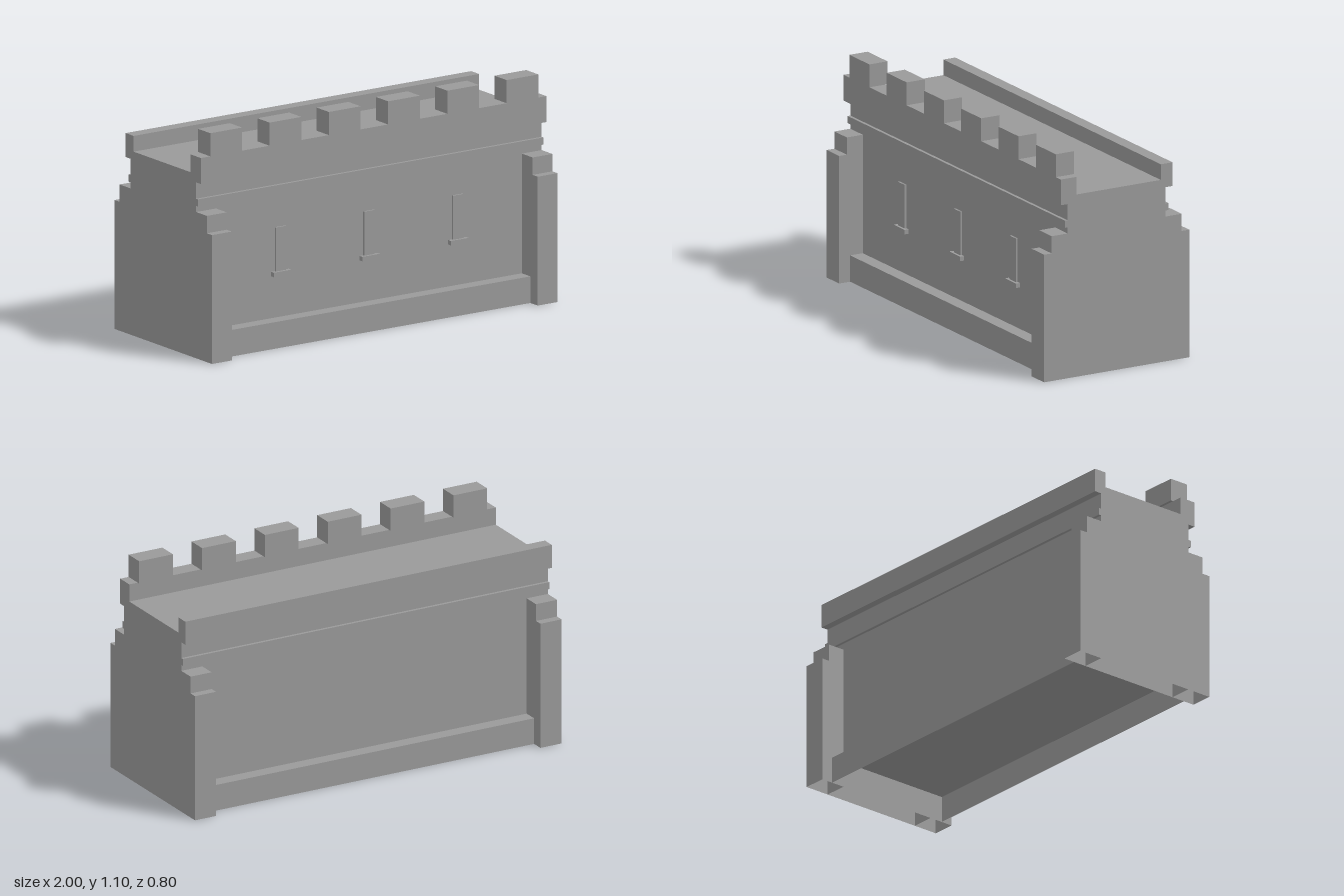
import * as THREE from 'three';

const stone = new THREE.MeshStandardMaterial({ color: 0x999999, side: THREE.DoubleSide });
stone.name = 'grey stone';

// Box given by its limits; open = true leaves out the underside
function block(parent, name, [x0, x1], [y0, y1], [z0, z1], open = false) {
  const geometry = new THREE.BoxGeometry(x1 - x0, y1 - y0, z1 - z0);
  if (open) {
    const index = Array.from(geometry.index.array);
    index.splice(18, 6);
    geometry.setIndex(index);
    geometry.clearGroups();
  }
  const mesh = new THREE.Mesh(geometry, stone);
  mesh.name = name;
  mesh.position.set((x0 + x1) / 2, (y0 + y1) / 2, (z0 + z1) / 2);
  parent.add(mesh);
  return mesh;
}

// Limits mirrored to the other side when s is -1
const side = (s, a, b) => (s > 0 ? [a, b] : [-b, -a]);

export function createModel() {
  const model = new THREE.Group();
  model.name = 'castleWall';
  const inner = 0.885, wallZ = 0.27;

  // Wall core with the walkway on top, and the hollow plinth below it
  block(model, 'wallCore', [-inner, inner], [0.13, 0.9], [-wallZ, wallZ], true);
  block(model, 'plinth', [-inner, inner], [0, 0.13], [-0.34, 0.34], true);

  // End walls with stepped corner buttresses
  for (const sx of [1, -1]) {
    const xs = side(sx, inner, 1);
    block(model, 'endWall', xs, [0, 0.9], [-wallZ, wallZ], true);
    for (const sz of [1, -1]) {
      const buttress = new THREE.Group();
      buttress.name = 'buttress';
      model.add(buttress);
      block(buttress, 'buttressBase', xs, [0, 0.63], side(sz, wallZ, 0.4), true);
      block(buttress, 'buttressCap', xs, [0.63, 0.715], side(sz, wallZ, 0.358), true);
    }
  }

  // String courses under the parapets
  for (const s of [1, -1]) {
    block(model, 'stringCourse', [-1, 1], [0.745, 0.78], side(s, wallZ, 0.285));
  }

  // Parapets
  block(model, 'frontParapet', [-1, 1], [0.86, 0.987], [0.222, 0.308]);
  block(model, 'backParapet', [-1, 1], [0.86, 0.977], [-0.308, -0.243]);

  // Merlons along the front
  for (let i = 0; i < 6; i++) {
    const x = -0.853 + i * 0.343;
    block(model, 'merlon', [x - 0.092, x + 0.092], [0.987, 1.1], [0.208, 0.308]);
  }

  // Arrow slits with sills
  for (const x of [-0.515, -0.003, 0.51]) {
    block(model, 'arrowSlit', [x - 0.03, x + 0.03], [0.357, 0.572], [wallZ, 0.279]);
    block(model, 'slitSill', [x - 0.051, x + 0.051], [0.335, 0.357], [wallZ, 0.292]);
  }
  return model;
}
